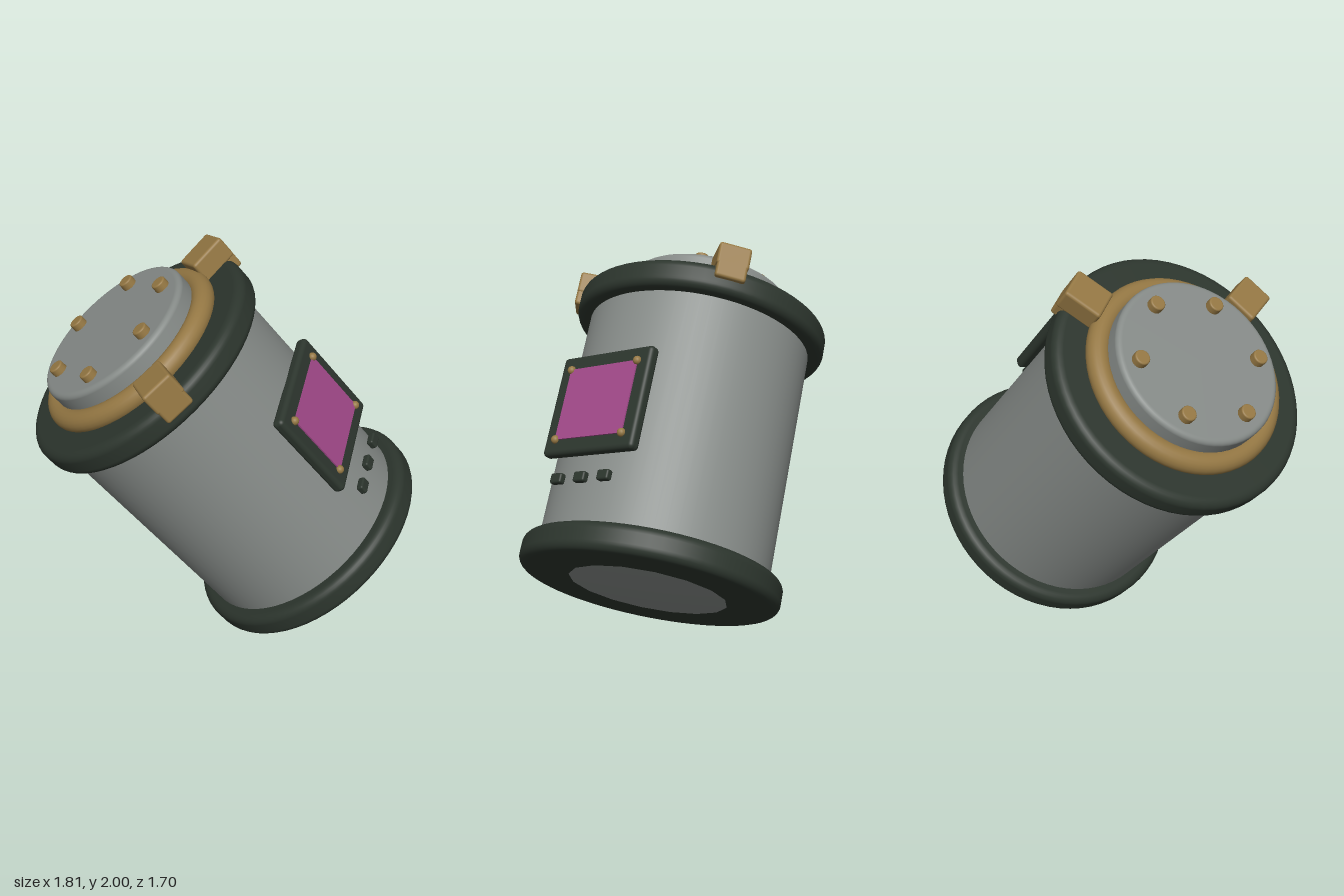
import * as THREE from 'three';
import { RoundedBoxGeometry } from 'three/addons/geometries/RoundedBoxGeometry.js';

const mat = (name, color) => new THREE.MeshStandardMaterial({ name, color });

// Solid disc with rounded rims, centred on its own height
function puck(radius, halfHeight, round, segments = 64) {
  const pts = [new THREE.Vector2(0, -halfHeight), new THREE.Vector2(radius - round - 0.004, -halfHeight)];
  for (const [sign, start] of [[-1, -Math.PI / 2], [1, 0]]) {
    for (let i = 0; i <= 6; i++) {
      const t = start + (i / 6) * Math.PI / 2;
      pts.push(new THREE.Vector2(
        radius - round + Math.cos(t) * round,
        sign * (halfHeight - round) + Math.sin(t) * round));
    }
  }
  pts.push(new THREE.Vector2(radius - round - 0.004, halfHeight), new THREE.Vector2(0, halfHeight));
  return new THREE.LatheGeometry(pts, segments);
}

export function createModel() {
  const steel = mat('steel grey', 0x858a87);
  const brass = mat('brass', 0x947743);
  const rubber = mat('dark green rubber', 0x2c352d);
  const glass = mat('magenta screen', 0xa04888);

  const model = new THREE.Group();
  model.name = 'canister';

  const add = (parent, name, geometry, material, x = 0, y = 0, z = 0) => {
    const mesh = new THREE.Mesh(geometry, material);
    mesh.name = name;
    mesh.position.set(x, y, z);
    parent.add(mesh);
    return mesh;
  };

  // Everything is built upright, then tilted as one piece
  const can = new THREE.Group();
  can.name = 'tiltedCanister';
  model.add(can);
  const ringY = 0.6635;

  // Body and end rings
  add(can, 'body', new THREE.CylinderGeometry(0.567, 0.567, 2 * ringY, 64, 1, true), steel);
  for (const [name, s] of [['topRing', 1], ['bottomRing', -1]]) {
    add(can, name, puck(0.64, 0.07, 0.042), rubber, 0, s * ringY, 0);
  }

  // Shallow domed base plate
  const dome = [];
  for (let i = 0; i <= 6; i++) {
    const r = 0.39 * i / 6;
    dome.push(new THREE.Vector2(r, -0.022 * (1 - (i / 6) ** 2)));
  }
  add(can, 'basePlate', new THREE.LatheGeometry(dome, 16), steel, 0, -ringY - 0.07, 0);

  // Lid with brass collar and six bolts
  const collar = new THREE.TorusGeometry(0.44, 0.055, 20, 64).rotateX(Math.PI / 2);
  add(can, 'lidCollar', collar, brass, 0, ringY + 0.095, 0);
  add(can, 'lid', puck(0.412, 0.08, 0.025), steel, 0, ringY + 0.15, 0);
  const lidBolt = puck(0.037, 0.03, 0.008, 20);
  for (let i = 0; i < 6; i++) {
    const a = i * Math.PI / 3;
    add(can, 'lidBolt', lidBolt, brass, 0.315 * Math.cos(a), ringY + 0.238, 0.315 * Math.sin(a));
  }

  // Two clamps hooked over the top ring
  const clampHead = new RoundedBoxGeometry(0.16, 0.115, 0.19, 3, 0.014);
  const clampLeg = new RoundedBoxGeometry(0.15, 0.17, 0.07, 3, 0.014);
  for (const s of [-1, 1]) {
    const clamp = new THREE.Group();
    clamp.name = s > 0 ? 'leftClamp' : 'rightClamp';
    clamp.rotation.y = s * THREE.MathUtils.degToRad(50);
    clamp.position.y = ringY;
    can.add(clamp);
    add(clamp, 'clampHead', clampHead, brass, 0, 0.118, 0.57);
    add(clamp, 'clampLeg', clampLeg, brass, 0, 0.08, 0.63);
  }

  // Display panel with corner studs
  add(can, 'screenFrame', new RoundedBoxGeometry(0.57, 0.515, 0.06, 4, 0.022), rubber, 0, 0, 0.582);
  add(can, 'screen', new THREE.BoxGeometry(0.425, 0.365, 0.009), glass, 0, 0, 0.6145);
  const stud = new THREE.SphereGeometry(0.021, 16, 12);
  for (const sx of [-1, 1]) {
    for (const sy of [-1, 1]) add(can, 'screenStud', stud, brass, sx * 0.211, sy * 0.181, 0.615);
  }

  // Row of buttons below the display
  const button = new RoundedBoxGeometry(0.07, 0.05, 0.036, 3, 0.01);
  for (const i of [-1, 0, 1]) add(can, 'button', button, rubber, i * 0.148, -0.379, 0.6);

  // Tilt: columns are the canister's side, axis and front directions
  const axis = new THREE.Vector3(-0.493, 0.791, -0.363).normalize();
  const side = new THREE.Vector3().crossVectors(axis, new THREE.Vector3(0.337, 0.558, 0.758)).normalize();
  const front = new THREE.Vector3().crossVectors(side, axis);
  can.quaternion.setFromRotationMatrix(new THREE.Matrix4().makeBasis(side, axis, front));
  can.position.set(-0.004, 0.962, 0.003);

  return model;
}
